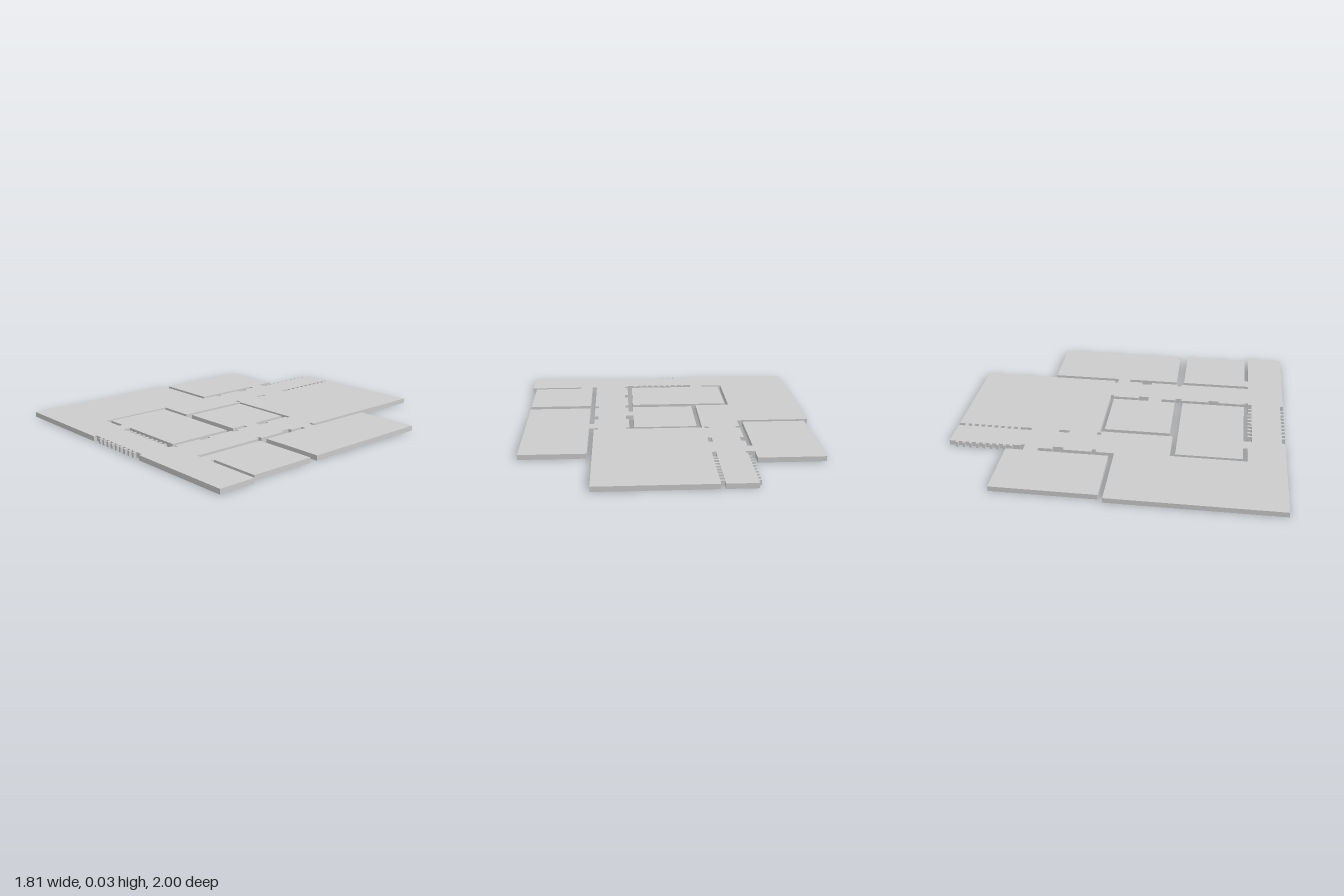
import * as THREE from 'three';

const THICKNESS = 0.03;
const PITCH = 0.0415, TOOTH = 0.016, STEPS = 9;

// Shapes are drawn as [x, z] plan points; z is flipped so the extrusion can be laid flat.
const toPoints = (pts) => pts.map(([x, z]) => new THREE.Vector2(x, -z));
const rect = (x0, z0, x1, z1) => [[x0, z0], [x1, z0], [x1, z1], [x0, z1]];

// Row of stair teeth: calls point(s, isTip) for the four corners of every tooth.
function teeth(start, point) {
  const pts = [];
  for (let i = 0; i < STEPS; i++) {
    const a = start + i * PITCH, b = a + TOOTH;
    pts.push(point(a, false), point(a, true), point(b, true), point(b, false));
  }
  return pts;
}

// Door jamb notches cut sideways into a wall line at x, reaching to xIn.
const notches = (x, xIn, spans) =>
  spans.flatMap(([a, b]) => [[x, a], [xIn, a], [xIn, b], [x, b]]);

function planOutline() {
  return [
    // front edge with stair teeth
    [-0.905, 1], [-0.22, 1], [-0.22, 0.98],
    ...teeth(-0.168, (x, tip) => [x, tip ? 1 : 0.98]),
    [0.23, 0.98], [0.23, 1], [0.905, 1],
    // front left room of the house
    [0.905, 0.775], [0.56, 0.775], [0.56, 0.75], [0.875, 0.75],
    [0.875, 0.345], [0.48, 0.345], [0.48, 0.775], [0.45, 0.775],
    // corridor wall, then the rear left room behind its doorway
    ...notches(0.45, 0.425, [[0.33, 0.305], [0.13, 0.065]]),
    [0.45, -0.02], [0.48, -0.02], [0.48, 0.295], [0.875, 0.295],
    [0.875, -0.53], [0.48, -0.53], [0.48, -0.1], [0.425, -0.1],
    [0.425, -0.12], [0.45, -0.12],
    // back hall, open end of the stair slot
    [0.45, -1], [-0.235, -1], [-0.235, -0.96], [-0.26, -0.96], [-0.26, -1], [-0.44, -1],
    ...teeth(-0.96, (z, tip) => [tip ? -0.456 : -0.44, z]),
    // rear right room
    [-0.44, -0.565], [-0.43, -0.565], [-0.43, -0.54], [-0.485, -0.54],
    [-0.485, -0.645], [-0.88, -0.645], [-0.88, -0.03], [-0.485, -0.03],
    [-0.485, -0.455], [-0.455, -0.455],
    ...notches(-0.455, -0.43, [[-0.37, -0.305], [-0.135, -0.11]]),
    [-0.455, 0], [-0.905, 0],
  ];
}

// Continuous wall gap around the two middle rooms
function innerWallGap() {
  return [
    [-0.22, -0.12], [0.25, -0.12], [0.25, -0.1], [0.23, -0.1],
    [0.23, 0.065], [0.25, 0.065], [0.25, 0.13], [0.2, 0.13],
    [0.2, -0.095], [-0.19, -0.095], [-0.19, 0.305], [0.2, 0.305],
    [0.2, 0.215], [0.23, 0.215],
    ...notches(0.23, 0.25, [[0.305, 0.345], [0.52, 0.585], [0.755, 0.775]]),
    [0.23, 0.8],
    // stair teeth on the inner side of the entrance stairs
    ...teeth(-0.168, (x, tip) => [x, tip ? 0.775 : 0.8]).reverse(),
    [-0.22, 0.8], [-0.22, 0.75], [0.2, 0.75], [0.2, 0.355],
    [-0.42, 0.355], [-0.42, 0.75], [-0.3, 0.75], [-0.3, 0.775],
    [-0.44, 0.775], [-0.44, 0.325], [-0.22, 0.325],
  ];
}

export function createModel() {
  const group = new THREE.Group();
  group.name = 'floorPlan';

  const shape = new THREE.Shape(toPoints(planOutline()));
  const cut = (pts) => shape.holes.push(new THREE.Path(toPoints(pts)));
  cut(innerWallGap());

  // Ladder of small openings beside the back stairs
  for (let i = 0; i < STEPS; i++) {
    const a = -0.96 + i * PITCH + TOOTH;
    cut(rect(-0.26, a, -0.235, i < STEPS - 1 ? a + PITCH - TOOTH : -0.54));
  }
  // Wall openings further along the same line
  cut(rect(-0.26, -0.37, -0.235, -0.305));
  cut(rect(-0.26, -0.135, -0.235, -0.11));

  const geometry = new THREE.ExtrudeGeometry(shape, { depth: THICKNESS, bevelEnabled: false });
  geometry.rotateX(-Math.PI / 2);
  const slab = new THREE.Mesh(geometry, new THREE.MeshStandardMaterial({ color: 0xcccccc }));
  slab.name = 'floorSlab';
  group.add(slab);
  return group;
}
